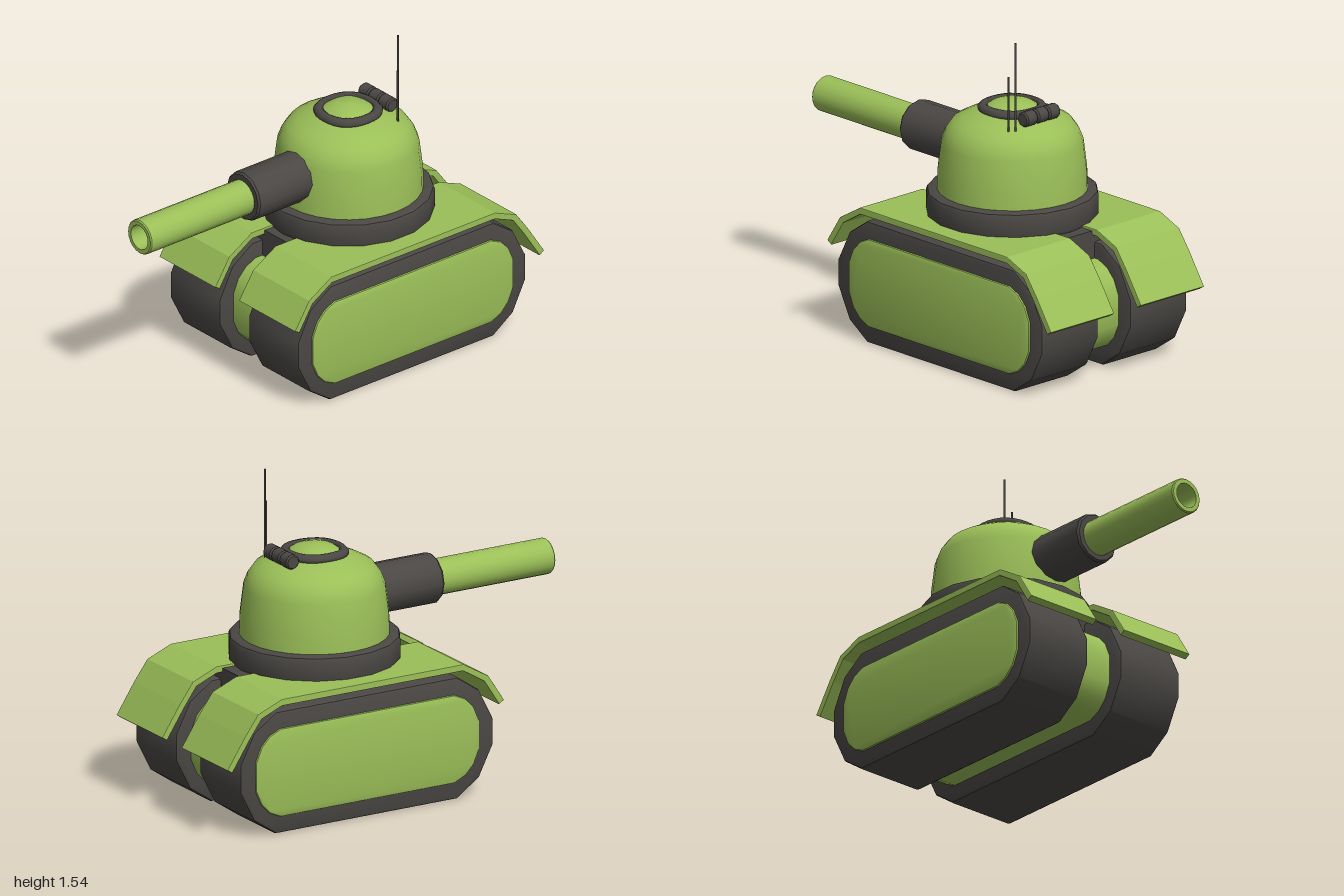
import * as THREE from 'three';
import { toCreasedNormals } from 'three/addons/utils/BufferGeometryUtils.js';

const green = new THREE.MeshStandardMaterial({ color: 0x9bbf58 });
const dark = new THREE.MeshStandardMaterial({ color: 0x4a4744 });
const CZ = -0.255; // shared centre of tracks and turret

function add(group, name, geometry, material, x = 0, y = 0, z = 0) {
  const mesh = new THREE.Mesh(geometry, material);
  mesh.name = name;
  mesh.position.set(x, y, z);
  group.add(mesh);
  return mesh;
}

// Extrudes a side profile of [z, y] points across the width, centred on x = 0
function sideExtrude(points, width, bevel) {
  const shape = new THREE.Shape(points.map(([z, y]) => new THREE.Vector2(z, y)));
  const geo = new THREE.ExtrudeGeometry(shape, {
    depth: width - 2 * bevel, bevelEnabled: true, bevelSize: bevel,
    bevelThickness: bevel, bevelOffset: -bevel, bevelSegments: 2,
  });
  geo.translate(0, 0, -(width - 2 * bevel) / 2);
  geo.rotateY(-Math.PI / 2);
  return toCreasedNormals(geo, 0.62);
}

// Mirrors one quarter [z, y] (bottom to top of the +z end) into a closed loop
function loop(quarter, cy) {
  const up = [...quarter].reverse().map(([z, y]) => [z, -y]).concat(quarter);
  const back = [...up].reverse().map(([z, y]) => [-z, y]);
  return up.concat(back).map(([z, y]) => [z + CZ, y + cy]);
}

// Surface of revolution from [radius, height] points
function lathe(points, sides, crease) {
  const geo = new THREE.LatheGeometry(points.map(([r, y]) => new THREE.Vector2(r, y)), sides);
  return crease ? toCreasedNormals(geo, crease) : geo;
}

// Gives a fender path [z, y] an even thickness
function thicken(path, t) {
  const lower = path.map((p, i) => {
    const a = path[Math.max(i - 1, 0)], b = path[Math.min(i + 1, path.length - 1)];
    const dz = b[0] - a[0], dy = b[1] - a[1], l = Math.hypot(dz, dy);
    return [p[0] - (dy / l) * t, p[1] + (dz / l) * t];
  });
  return path.concat(lower.reverse());
}

export function createModel() {
  const tank = new THREE.Group();
  tank.name = 'tank';

  // Hull runs through both tracks and forms the outer side panels
  const hullLoop = loop([[0.605, 0.07], [0.575, 0.14], [0.53, 0.187], [0.47, 0.214]], 0.295);
  add(tank, 'hull', sideExtrude(hullLoop, 0.94, 0.012), green);

  // Tracks and fenders
  const trackLoop = loop([[0.685, 0.065], [0.61, 0.213], [0.49, 0.295]], 0.295);
  const trackGeo = sideExtrude(trackLoop, 0.36, 0.014);
  const fenderPath = [[0.445, 0.43], [0.365, 0.555], [0.25, 0.625], [-0.73, 0.625],
    [-0.84, 0.58], [-0.905, 0.49], [-1.0, 0.345]];
  const fenderGeo = sideExtrude(thicken(fenderPath, -0.032).reverse(), 0.402, 0.004);
  for (const s of [1, -1]) {
    const side = s > 0 ? 'left' : 'right';
    add(tank, side + 'Track', trackGeo, dark, s * 0.28);
    add(tank, side + 'Fender', fenderGeo, green, s * 0.285);
  }
  fixWinding(fenderGeo);

  // Turret mount and ring
  add(tank, 'turretMount', new THREE.BoxGeometry(0.33, 0.15, 0.875), dark, 0, 0.57, -0.262);
  add(tank, 'turretRing', lathe([[0, 0.64], [0.38, 0.64], [0.394, 0.647], [0.4, 0.662],
    [0.4, 0.748], [0.394, 0.763], [0.38, 0.77], [0.33, 0.77]], 18, 0.6), dark, 0, 0, CZ);

  // Turret dome
  add(tank, 'turretDome', lathe([[0.349, 0.75], [0.346, 0.86], [0.329, 1.0], [0.309, 1.05],
    [0.279, 1.092], [0.235, 1.117], [0.17, 1.146], [0.1, 1.16], [0, 1.165]], 28), green, 0, 0, CZ);

  // Hatch: squarish rim with a low cap
  const rim = lathe([[0.112, 1.14], [0.149, 1.146], [0.154, 1.162], [0.142, 1.177],
    [0.122, 1.182], [0.11, 1.172], [0.112, 1.14]], 28);
  const cap = lathe([[0.118, 1.165], [0.09, 1.184], [0.05, 1.196], [0, 1.2]], 28);
  for (const geo of [rim, cap]) {
    const p = geo.attributes.position;
    for (let i = 0; i < p.count; i++) {
      const x = p.getX(i), z = p.getZ(i);
      const k = 1 + 0.05 * (1 - Math.cos(4 * Math.atan2(z, x))) / 2;
      p.setXYZ(i, x * k, p.getY(i), z * k);
    }
    geo.computeVertexNormals();
  }
  add(tank, 'hatchRim', rim, dark, 0, 0, CZ);
  add(tank, 'hatchCap', cap, green, 0, 0, CZ);

  // Three-barrel hinge behind the hatch
  const hinge = lathe([[0, -0.035], [0.029, -0.035], [0.036, -0.027], [0.036, 0.027],
    [0.029, 0.035], [0, 0.035]], 12, 0.7);
  hinge.rotateZ(Math.PI / 2);
  for (let i = -1; i <= 1; i++) add(tank, 'hatchHinge', hinge, dark, i * 0.071, 1.163, -0.435);

  // Gun sleeve and hollow barrel
  const sleeve = lathe([[0.12, -0.05], [0.12, 0.37], [0.112, 0.38], [0.08, 0.38]], 12, 0.6);
  const barrel = lathe([[0.085, 0], [0.085, 0.994], [0.08, 1], [0.06, 1], [0.06, 0.72], [0, 0.72]], 20, 0.6);
  sleeve.rotateX(Math.PI / 2);
  barrel.rotateX(Math.PI / 2);
  add(tank, 'gunSleeve', sleeve, dark, 0, 0.922);
  add(tank, 'gunBarrel', barrel, green, 0, 0.92);

  // Antennas
  for (const [x, z, top] of [[0.147, -0.432, 1.545], [0.172, -0.41, 1.38]]) {
    const h = top - 1.1;
    add(tank, 'antenna', new THREE.CylinderGeometry(0.005, 0.005, h, 8), dark, x, 1.1 + h / 2, z);
  }
  return tank;
}

// Squares the fender normals after the bevel so flat faces stay flat
function fixWinding(geo) {
  geo.computeVertexNormals();
}
